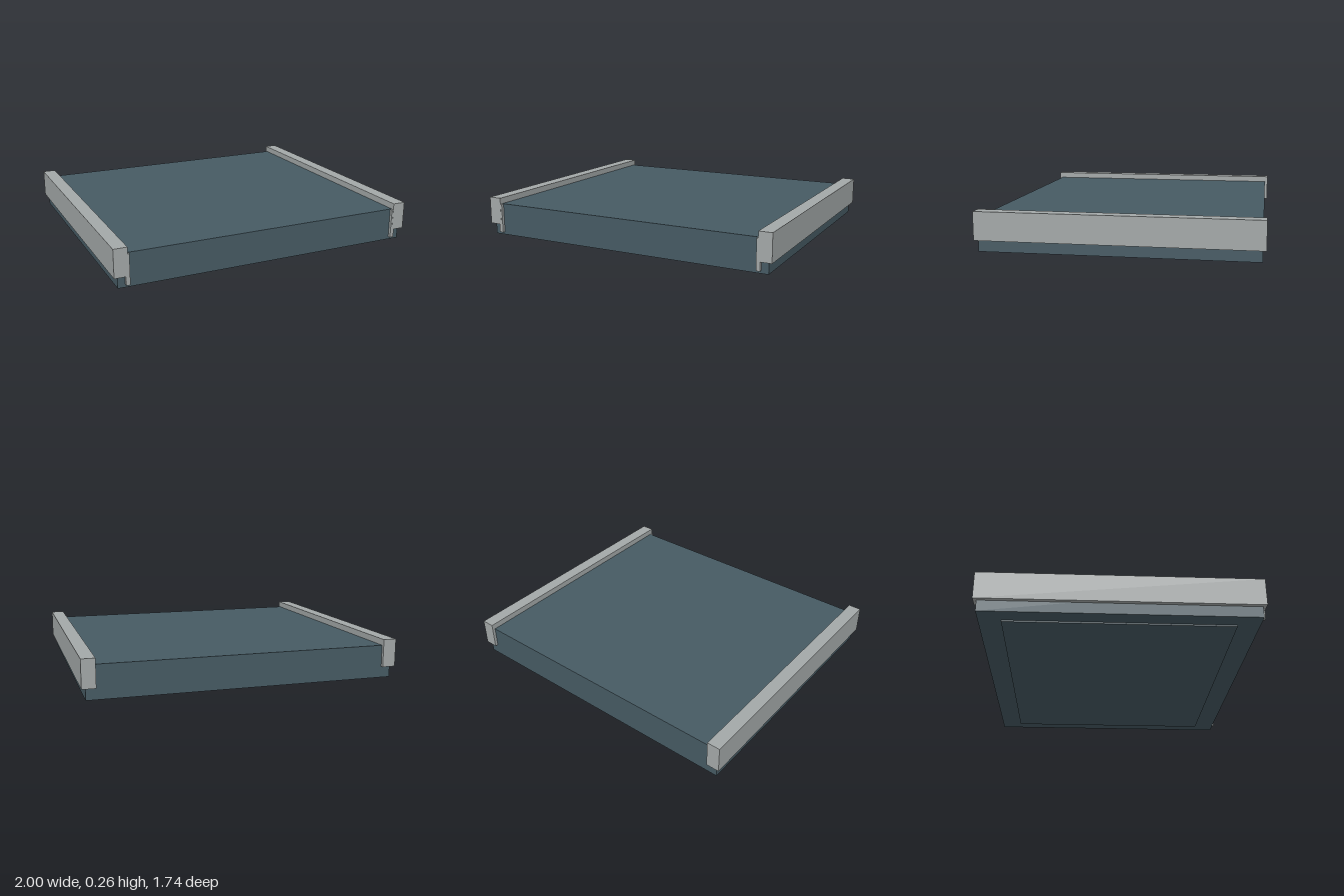
import * as THREE from 'three';

export function createModel() {
  const model = new THREE.Group();
  model.name = 'railedTray';

  const slate = new THREE.MeshStandardMaterial({ color: 0x465a63 });
  slate.name = 'slate';
  const grey = new THREE.MeshStandardMaterial({ color: 0xa3a8a8 });
  grey.name = 'rail grey';

  // Box given by its lower and upper corners
  function box(name, material, [x0, y0, z0], [x1, y1, z1]) {
    const mesh = new THREE.Mesh(new THREE.BoxGeometry(x1 - x0, y1 - y0, z1 - z0), material);
    mesh.position.set((x0 + x1) / 2, (y0 + y1) / 2, (z0 + z1) / 2);
    mesh.name = name;
    return mesh;
  }

  // Slab body and the shallow raised panel under it
  model.add(box('body', slate, [-0.975, 0.01, -0.85], [0.975, 0.22, 0.85]));
  model.add(box('basePanel', slate, [-0.87, 0, -0.71], [0.87, 0.01, 0.71]));

  // Side rails, each with a narrow lip hooked over the front face
  for (const [side, s] of [['left', 1], ['right', -1]]) {
    const rail = new THREE.Group();
    rail.name = side + 'Rail';
    const bar = box('railBar', grey, [0.915, 0.082, -0.87], [1, 0.26, 0.87]);
    const lip = box('frontLip', grey, [0.905, 0.027, 0.85], [0.93, 0.218, 0.869]);
    for (const part of [bar, lip]) {
      part.position.x *= s;
      rail.add(part);
    }
    model.add(rail);
  }

  return model;
}
